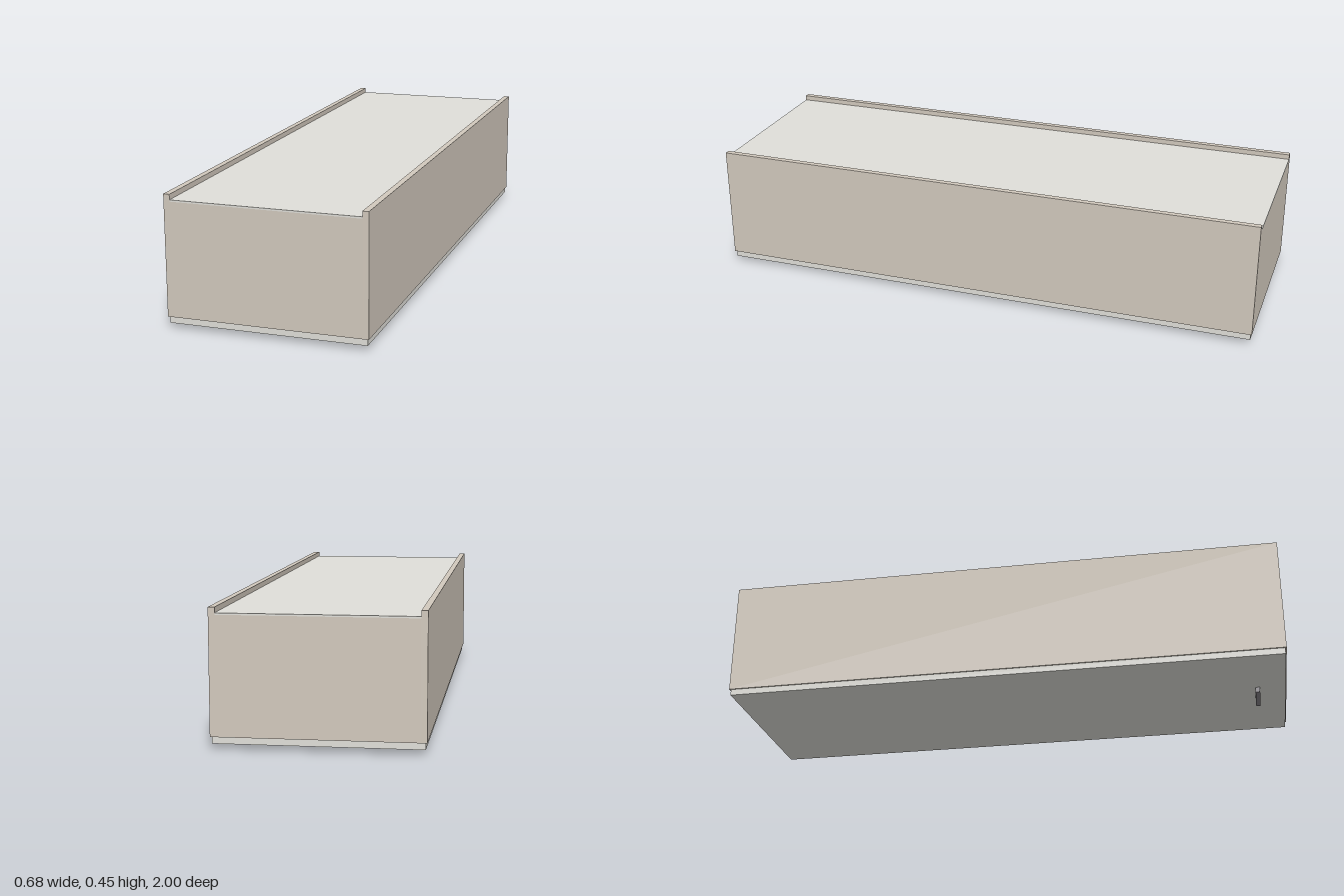
import * as THREE from 'three';

const carcassMat = new THREE.MeshStandardMaterial({ color: 0xd2c9bd });
const panelMat = new THREE.MeshStandardMaterial({ color: 0xe0dfd9 });
const handleMat = new THREE.MeshStandardMaterial({ color: 0x858288 });

// Box given by its lower and upper corners
function board(name, [x0, y0, z0], [x1, y1, z1], material) {
  const mesh = new THREE.Mesh(new THREE.BoxGeometry(x1 - x0, y1 - y0, z1 - z0), material);
  mesh.position.set((x0 + x1) / 2, (y0 + y1) / 2, (z0 + z1) / 2);
  mesh.name = name;
  return mesh;
}

export function createModel() {
  const group = new THREE.Group();
  group.name = 'cabinet';

  const W = 0.341, inner = 0.32, y0 = 0.04, top = 0.45, backY = 0.426, backTop = 0.432;

  // Long side walls, standing proud of the back panel
  group.add(board('leftSide', [inner, y0, -1], [W, top, 1], carcassMat));
  group.add(board('rightSide', [-W, y0, -1], [-inner, top, 1], carcassMat));

  // End walls between the sides
  group.add(board('frontEnd', [-inner, y0, 0.979], [inner, backY, 1], carcassMat));
  group.add(board('backEnd', [-inner, y0, -1], [inner, backY, -0.979], carcassMat));

  // Thin back panel, recessed between the side walls
  group.add(board('backPanel', [-inner, backY, -1], [inner, backTop, 1], panelMat));

  // Door closing the underside, slightly smaller than the carcass
  group.add(board('door', [-0.336, 0.018, -0.995], [0.336, y0, 0.995], panelMat));

  // Bar handle on the door
  group.add(board('handle', [-0.066, 0, 0.888], [0.066, 0.018, 0.904], handleMat));

  return group;
}
